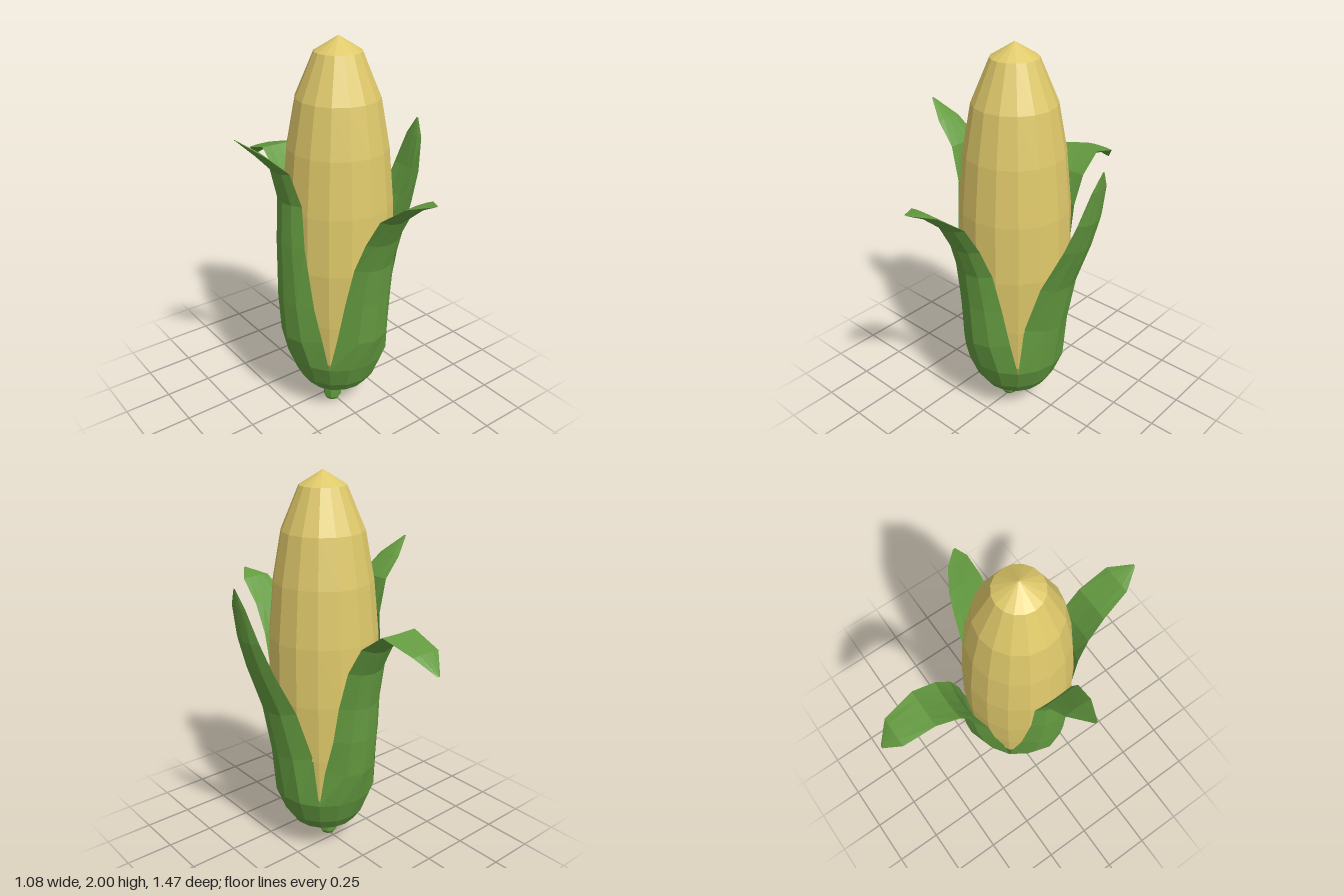
import * as THREE from 'three';

const CX = 0.025, CZ = 0.045;
const HALF = Math.PI / 4;

// Shared lower rows [radius, y]: the four leaves close into a round cup
const cup = [[0.04, 0.07], [0.175, 0.15], [0.22, 0.215], [0.268, 0.34]];

// Upper rows of each leaf: [outward, y, half width]
const frontRows = [[0.32, 0.52, 0.165], [0.335, 0.75, 0.145], [0.355, 0.95, 0.125],
  [0.4, 1.1, 0.108], [0.475, 1.24, 0.1], [0.6, 1.35, 0.08], [0.69, 1.4, 0.006]];
const leftRows = [[0.305, 0.6, 0.165], [0.355, 0.86, 0.14], [0.44, 1.1, 0.112],
  [0.485, 1.26, 0.093], [0.508, 1.43, 0.055], [0.515, 1.52, 0.006]];
const backRows = [[0.315, 0.52, 0.17], [0.335, 0.72, 0.15], [0.342, 0.9, 0.135],
  [0.375, 1.09, 0.12], [0.44, 1.22, 0.11], [0.535, 1.3, 0.102], [0.69, 1.265, 0.08],
  [0.78, 1.205, 0.008]];
const rightRows = [[0.32, 0.5, 0.17], [0.335, 0.72, 0.15], [0.336, 1.05, 0.12],
  [0.325, 1.26, 0.105], [0.365, 1.42, 0.09], [0.46, 1.52, 0.068], [0.56, 1.615, 0.006]];

// A curved leaf: lens-shaped loops, square to the leaf's path, joined from base to tip
function leafGeometry(upper) {
  const rows = [...cup, ...upper];
  const across = [-1, -0.5, 0, 0.5, 1];
  const loop = [...across.map(u => [u, 0]), [0.5, 1], [0, 1], [-0.5, 1]];
  const n = loop.length, positions = [], index = [];
  rows.forEach(([out, y, width], i) => {
    const inCup = i < cup.length;
    const before = rows[i - 1], after = rows[i + 1] ?? rows[i];
    const w = inCup ? out * Math.SQRT1_2 : width;
    const sag = inCup ? out * (1 - Math.SQRT1_2) : 3.6 * w * w;
    const thick = inCup ? 0 : Math.min(0.035, 0.35 * w);
    const tilt = inCup ? 0 : Math.atan2(after[0] - before[0], after[1] - before[1]);
    loop.forEach(([u, inner], k) => {
      const side = w * Math.sin(u * HALF) / Math.SQRT1_2;
      const inward = sag * (1 - Math.cos(u * HALF)) / (1 - Math.SQRT1_2)
        + inner * thick * (1 - u * u);
      positions.push(side, y + inward * Math.sin(tilt), out - inward * Math.cos(tilt));
      if (i === 0) return;
      const a = (i - 1) * n + k, b = (i - 1) * n + (k + 1) % n;
      index.push(a, b, b + n, a, b + n, a + n);
    });
  });
  const indexed = new THREE.BufferGeometry();
  indexed.setAttribute('position', new THREE.Float32BufferAttribute(positions, 3));
  indexed.setIndex(index);
  const geometry = indexed.toNonIndexed();
  geometry.computeVertexNormals();
  return geometry;
}

export function createModel() {
  const kernelYellow = new THREE.MeshStandardMaterial({ color: 0xdec86a, flatShading: true });
  kernelYellow.name = 'kernelYellow';
  const huskGreen = new THREE.MeshStandardMaterial({
    color: 0x649b40, flatShading: true, side: THREE.DoubleSide });
  huskGreen.name = 'huskGreen';

  const model = new THREE.Group();
  model.name = 'cornCob';
  const add = (name, geometry, material, x, y, z) => {
    const mesh = new THREE.Mesh(geometry, material);
    mesh.name = name;
    mesh.position.set(x, y, z);
    model.add(mesh);
    return mesh;
  };

  // Cob
  const profile = [[0, 0.14], [0.14, 0.18], [0.245, 0.36], [0.27, 0.6], [0.285, 0.9],
    [0.277, 1.2], [0.25, 1.48], [0.205, 1.72], [0.115, 1.93], [0, 2]]
    .map(([r, y]) => new THREE.Vector2(r, y));
  add('cob', new THREE.LatheGeometry(profile, 16), kernelYellow, CX, 0, CZ);

  // Husk leaves, a quarter turn apart
  const leaves = { frontLeaf: frontRows, leftLeaf: leftRows, backLeaf: backRows, rightLeaf: rightRows };
  Object.entries(leaves).forEach(([name, rows], i) => {
    add(name, leafGeometry(rows), huskGreen, CX, 0, CZ).rotation.y = i * Math.PI / 2;
  });

  // Stem
  add('stem', new THREE.CylinderGeometry(0.052, 0.048, 0.08, 8), huskGreen, -0.01, 0.06, 0.055);
  add('stemEnd', new THREE.CylinderGeometry(0.048, 0.036, 0.02, 8), huskGreen, -0.01, 0.01, 0.055);
  return model;
}
